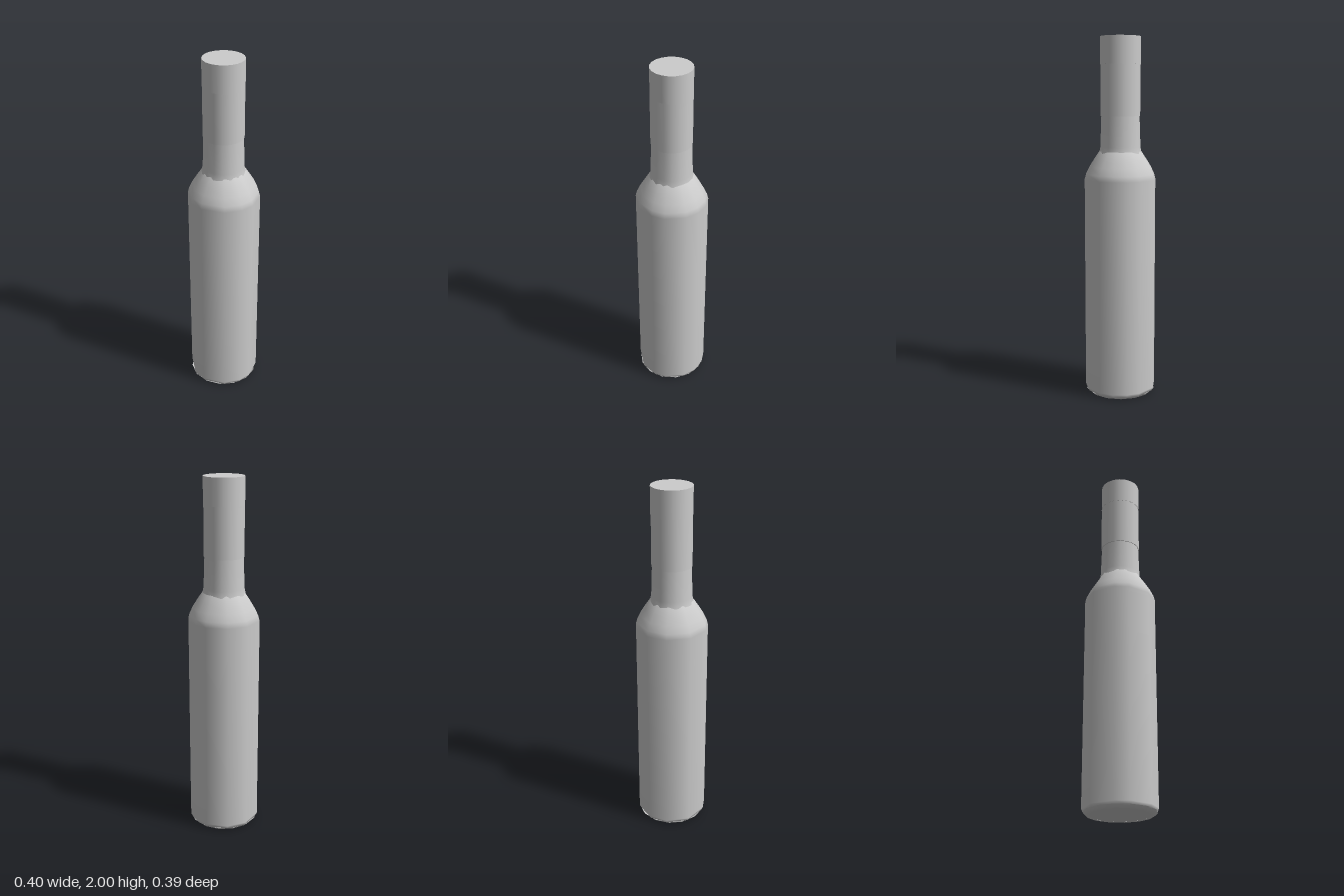
import * as THREE from 'three';

const material = new THREE.MeshStandardMaterial({ color: 0xcccccc, side: THREE.DoubleSide });

// Uneven facet directions of the body, in degrees from +z towards +x
const facets = [11.6, 33, 67, 90, 113, 134, 170, 203, 242, 282, 305, 343, 371.6];

function lathe(name, profile, sides) {
  const points = profile.map(([r, y]) => new THREE.Vector2(r, y));
  const mesh = new THREE.Mesh(new THREE.LatheGeometry(points, sides), material);
  mesh.name = name;
  return mesh;
}

// Turn each column of a lathe to its own facet direction
function turnColumns(geometry, rows, angles) {
  const axis = new THREE.Vector3(0, 1, 0);
  const v = new THREE.Vector3();
  for (const key of ['position', 'normal']) {
    const attribute = geometry.attributes[key];
    for (let i = 0; i < attribute.count; i++) {
      const column = Math.floor(i / rows);
      const turn = THREE.MathUtils.degToRad(angles[column] - column * 360 / (angles.length - 1));
      v.fromBufferAttribute(attribute, i).applyAxisAngle(axis, turn);
      attribute.setXYZ(i, v.x, v.y, v.z);
    }
  }
}

function disc(name, radius, y, sides, up) {
  const mesh = new THREE.Mesh(new THREE.CircleGeometry(radius, sides), material);
  mesh.name = name;
  mesh.rotation.x = up ? -Math.PI / 2 : Math.PI / 2;
  mesh.position.y = y;
  return mesh;
}

export function createModel() {
  const group = new THREE.Group();
  group.name = 'bottle';

  // Body with a small foot bevel and sloping shoulder
  const profile = [
    [0, 0.008], [0.17, 0.008], [0.19, 0.01], [0.2, 0.03], [0.2, 0.6], [0.2, 1.22],
    [0.192, 1.25], [0.173, 1.29], [0.145, 1.335], [0.118, 1.375], [0.1, 1.39],
  ];
  const body = lathe('body', profile, facets.length - 1);
  turnColumns(body.geometry, profile.length, facets);
  group.add(body);

  // Base standing on the ground
  group.add(lathe('foot', [[0.16, 0], [0.18, 0], [0.195, 0.015]], 14));
  group.add(disc('base', 0.16, 0, 14, false));

  // Slightly tapering neck
  group.add(lathe('neck', [[0.12, 1.365], [0.113, 1.4], [0.107, 1.58]], 16));

  // Foil sleeve with a thin ledge below
  group.add(lathe('sleeve', [[0.111, 1.57], [0.111, 1.85]], 16));
  group.add(lathe('sleeveLedge', [[0.1, 1.57], [0.111, 1.57]], 16));

  // Cap
  group.add(lathe('cap', [[0.112, 1.85], [0.112, 2]], 20));
  group.add(lathe('capLedge', [[0.1, 1.85], [0.112, 1.85]], 20));
  group.add(disc('capTop', 0.112, 2, 20, true));

  return group;
}
